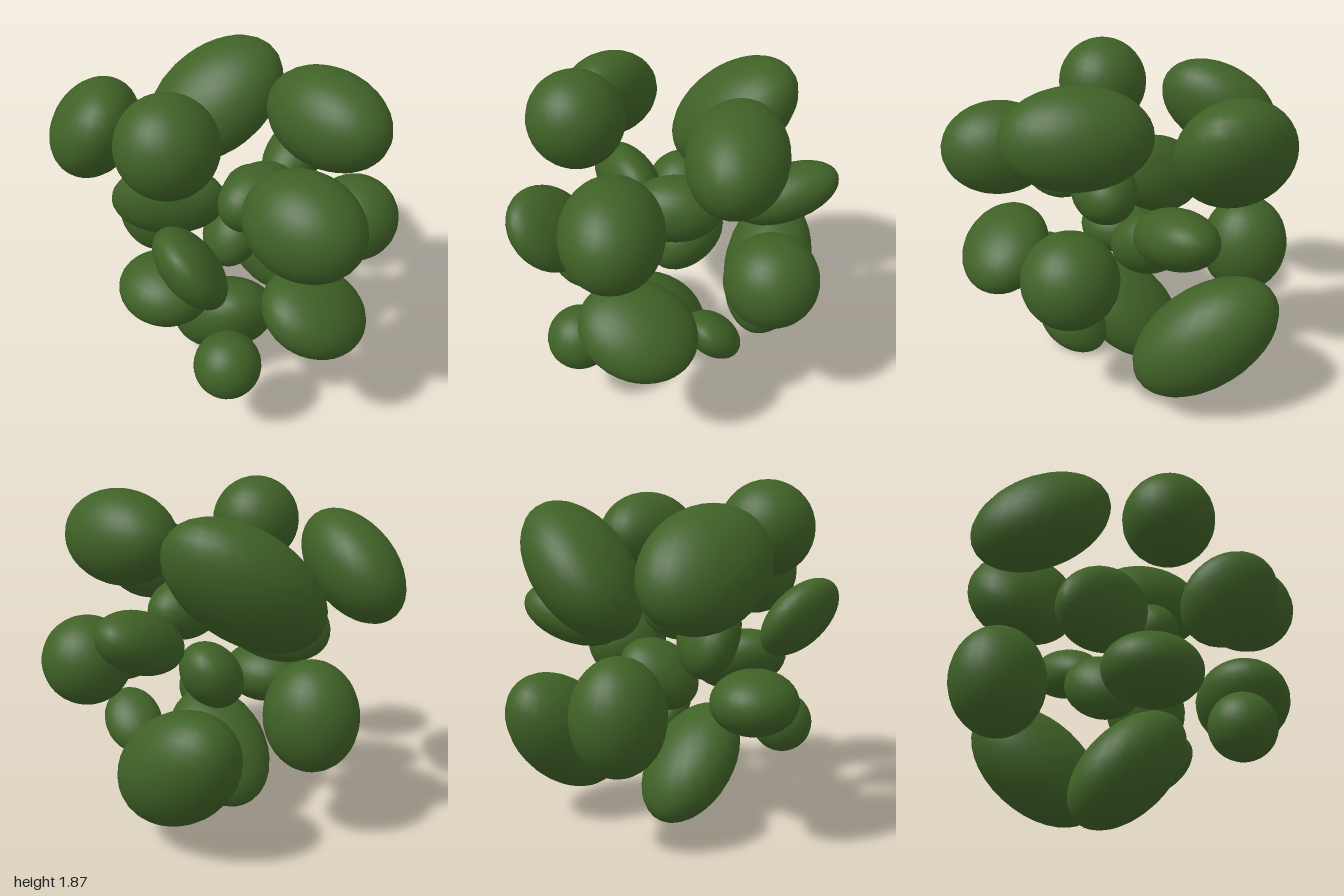
import * as THREE from 'three';

// Matrix that turns a unit sphere into an ellipsoid with half extents x, y, z
// whose long axis leans in the xy, xz and yz planes (-1 to 1)
function ellipsoidMatrix([x, y, z], { xy = 0, xz = 0, yz = 0 }) {
  const b = Math.sqrt(1 - xy * xy);
  const c = (yz - xy * xz) / b;
  const d = Math.sqrt(1 - xz * xz - c * c);
  return new THREE.Matrix4().set(
    x, 0, 0, 0,
    y * xy, y * b, 0, 0,
    z * xz, z * c, z * d, 0,
    0, 0, 0, 1
  );
}

export function createModel() {
  const leafGreen = new THREE.MeshStandardMaterial({ color: 0x3f6126 });
  leafGreen.name = 'leafGreen';

  const foliage = new THREE.Group();
  foliage.name = 'foliage';

  // An oval clump of leaves, upright unless given a lean
  function oval(name, centre, half, lean = {}) {
    const geometry = new THREE.SphereGeometry(1, 28, 18);
    geometry.applyMatrix4(ellipsoidMatrix(half, lean));
    const clump = new THREE.Mesh(geometry, leafGreen);
    clump.name = name;
    clump.position.set(...centre);
    foliage.add(clump);
  }

  // A ball-shaped clump of leaves
  function ball(name, centre, radius) {
    oval(name, centre, [radius, radius, radius]);
  }

  // Crown
  ball('crownRightBall', [-0.54, 1.62, 0.03], 0.255);
  oval('crownLeftOval', [0.275, 1.58, 0.355], [0.255, 0.26, 0.38], { xz: -0.12 });
  oval('crownFrontOval', [-0.31, 1.36, 0.68], [0.25, 0.26, 0.315]);
  oval('crownBackLeft', [0.29, 1.415, -0.48], [0.355, 0.35, 0.36], { xy: 0.5, xz: 0.28, yz: 0.2 });
  oval('crownBackRight', [-0.44, 1.44, -0.67], [0.28, 0.295, 0.33], { xz: -0.3, yz: 0.35 });

  // Middle ring
  ball('middleFrontLeftBall', [0.47, 0.915, 0.45], 0.25);
  oval('middleFront', [-0.205, 0.79, 0.7], [0.3, 0.21, 0.25], { xy: -0.25, yz: -0.3 });
  oval('middleRight', [-0.675, 1.125, 0.3], [0.2, 0.225, 0.235], { xy: -0.5, xz: -0.35 });
  oval('middleLeft', [0.58, 1.13, -0.06], [0.29, 0.18, 0.19], { xy: 0.4, xz: -0.15 });
  oval('middleBack', [-0.01, 0.715, -0.7], [0.24, 0.3, 0.255]);
  oval('middleLowRight', [-0.52, 0.7, -0.08], [0.24, 0.18, 0.265]);

  // Inner clumps
  oval('innerFront', [-0.03, 1.16, 0.155], [0.255, 0.18, 0.18]);
  oval('innerBack', [-0.315, 1.1, -0.25], [0.205, 0.235, 0.31], { xz: 0.5, yz: 0.3 });
  oval('innerCore', [0.03, 0.82, -0.08], [0.21, 0.2, 0.2], { xy: 0.3, xz: -0.2 });

  // Lower clumps
  ball('lowerRightBall', [-0.555, 0.48, 0.42], 0.178);
  oval('lowerFront', [0.18, 0.48, 0.39], [0.155, 0.165, 0.185], { xy: -0.35, yz: 0.4 });
  oval('lowerLeft', [0.535, 0.485, -0.255], [0.275, 0.355, 0.385], { xy: 0.2, xz: -0.15, yz: -0.4 });
  oval('base', [-0.135, 0.31, -0.01], [0.275, 0.31, 0.32], { xy: -0.25, yz: 0.45 });

  return foliage;
}
